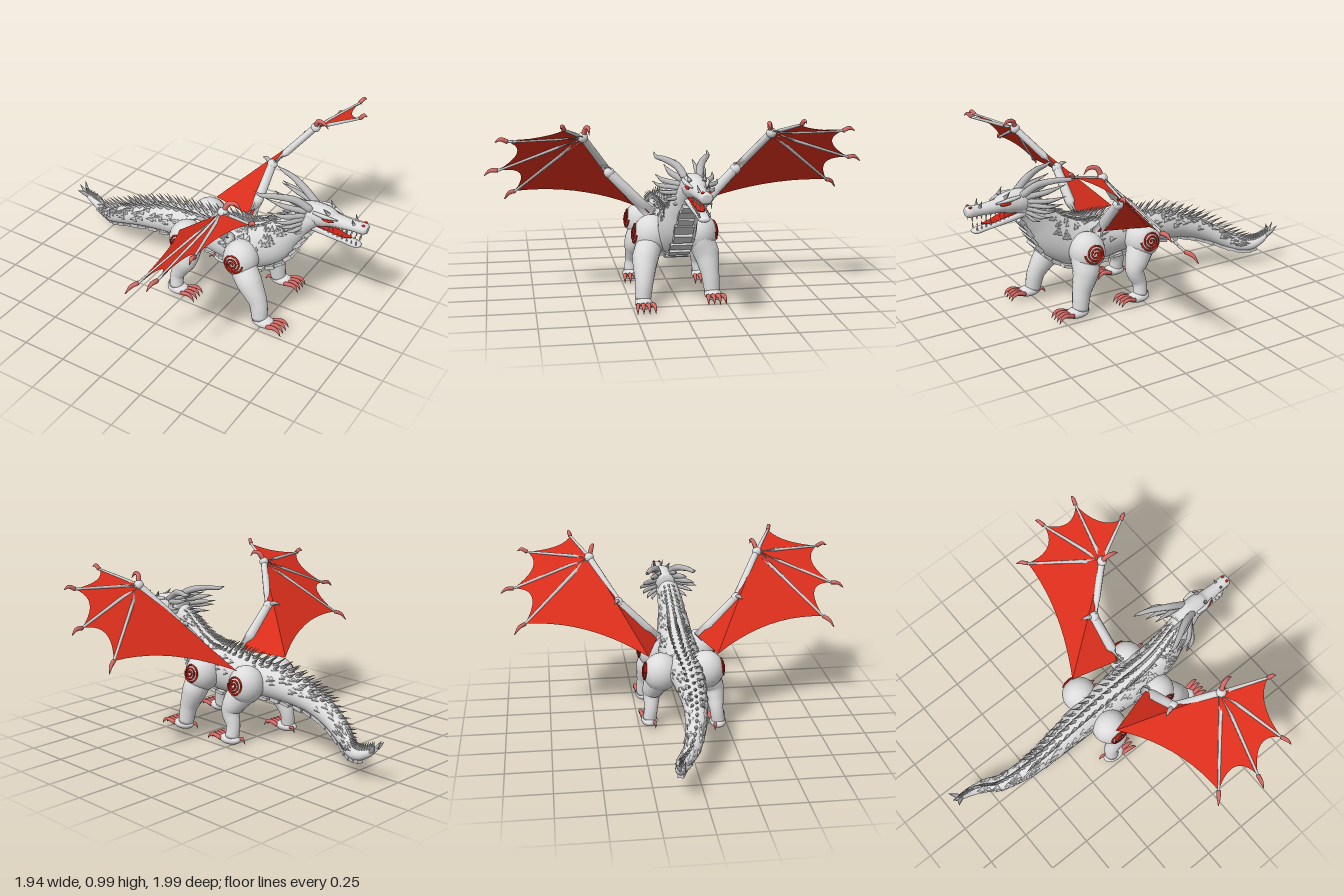
import * as THREE from 'three';
import { mergeGeometries } from 'three/addons/utils/BufferGeometryUtils.js';

const V = (x, y, z) => new THREE.Vector3(x, y, z);
const mat = (name, color, opts = {}) => Object.assign(new THREE.MeshStandardMaterial({ color, ...opts }), { name });
const hide = mat('pale hide', 0xdcdcdc);
const horn = mat('grey horn', 0xb8b8b8);
const plate = mat('plate grey', 0xcecece);
const skin = mat('wing red', 0xda2e1c, { side: THREE.DoubleSide });
const mark = mat('marking red', 0xcc2416);
const claw = mat('claw pink', 0xd66a64);
const ivory = mat('tooth white', 0xe6e2dc);

// Samples rows of [x, y, z, ry, rz] along a smooth curve
function path(rows) {
  const curve = new THREE.CatmullRomCurve3(rows.map(r => V(r[0], r[1], r[2])), false, 'catmullrom', 0.5);
  const span = curve.points[rows.length - 1].clone().sub(curve.points[0]).normalize();
  const ref = Math.abs(span.z) < 0.8 ? V(0, 0, 1) : V(1, 0, 0);
  return u => {
    const f = Math.min(u, 0.99999) * (rows.length - 1), i = Math.floor(f), k = f - i;
    const ra = rows[i], rb = rows[i + 1];
    const t = curve.getTangent(u);
    const side = ref.clone().addScaledVector(t, -ref.dot(t)).normalize();
    return {
      c: curve.getPoint(u), t, side, up: side.clone().cross(t),
      ry: THREE.MathUtils.lerp(ra[3], rb[3], k),
      rz: THREE.MathUtils.lerp(ra[4] ?? ra[3], rb[4] ?? rb[3], k)
    };
  };
}
// Closed loft of elliptical rings along a path
function loft(rows, sides = 10, segs = 10) {
  const at = path(rows), pos = [], idx = [];
  for (let i = 0; i <= segs; i++) {
    const { c, side, up, ry, rz } = at(i / segs);
    for (let j = 0; j < sides; j++) {
      const a = j / sides * Math.PI * 2;
      const p = c.clone().addScaledVector(side, Math.cos(a) * rz).addScaledVector(up, -Math.sin(a) * ry);
      pos.push(p.x, p.y, p.z);
      if (i < segs) {
        const n = (j + 1) % sides, A = i * sides + j, B = i * sides + n;
        idx.push(A, B, A + sides, B, B + sides, A + sides);
      }
    }
  }
  const s = at(0).c, e = at(1).c, k = pos.length / 3;
  pos.push(s.x, s.y, s.z, e.x, e.y, e.z);
  for (let j = 0; j < sides; j++) {
    const n = (j + 1) % sides, o = segs * sides;
    idx.push(k, n, j, k + 1, o + j, o + n);
  }
  const g = new THREE.BufferGeometry();
  g.setAttribute('position', new THREE.Float32BufferAttribute(pos, 3));
  g.setIndex(idx);
  g.computeVertexNormals();
  return g;
}
const ball = (c, r) => new THREE.SphereGeometry(1, 20, 14).scale(...r).translate(...c);
// Flattened cone pointing along dir with its flat side facing normal
function thorn(p, dir, normal, r, h, flat = 1, sides = 5) {
  const y = dir.clone().normalize(), x = y.clone().cross(normal).normalize(), z = x.clone().cross(y);
  return new THREE.ConeGeometry(r, h, sides).deleteAttribute('uv').translate(0, h / 2, 0).scale(1, 1, flat)
    .applyMatrix4(new THREE.Matrix4().makeBasis(x, y, z).setPosition(p));
}
const arr = v => [v.x, v.y, v.z];

export function createModel() {
  const model = new THREE.Group();
  model.name = 'dragon';
  const add = (name, geo, m, parent = model) => {
    const mesh = new THREE.Mesh(Array.isArray(geo) ? mergeGeometries(geo) : geo, m);
    mesh.name = name;
    parent.add(mesh);
  };
  let seed = 7;
  const rnd = () => (seed = (seed * 16807) % 2147483647) / 2147483647;

  // Tail, trunk and neck
  const rows = [
    [-.95, .2, -.115, .008], [-.9, .165, -.12, .02], [-.83, .137, -.115, .03], [-.76, .137, -.09, .035],
    [-.68, .17, -.04, .045], [-.55, .24, 0, .056], [-.4, .3, .015, .067], [-.2, .345, .01, .09, .085],
    [0, .355, 0, .1, .1], [.2, .355, 0, .13, .115], [.34, .375, 0, .14, .11], [.45, .44, 0, .125, .095],
    [.53, .53, -.005, .095, .078], [.6, .61, -.015, .075, .066], [.68, .67, -.03, .055, .058]];
  add('body', loft(rows, 24, 90), hide);
  const at = path(rows);
  const surf = (u, a) => {
    const s = at(u), ca = Math.cos(a), sa = Math.sin(a);
    s.p = s.c.clone().addScaledVector(s.up, ca * s.ry).addScaledVector(s.side, sa * s.rz);
    s.n = s.up.clone().multiplyScalar(ca / s.ry).addScaledVector(s.side, sa / s.rz).normalize();
    return s;
  };
  // Back spines in three rows
  const spines = [];
  for (const [a, count, from, size] of [[0, 52, .04, 1], [.4, 32, .4, .8], [-.4, 32, .4, .8]]) {
    for (let i = 0; i < count; i++) {
      const u = from + (.93 - from) * i / (count - 1), s = surf(u, a);
      const h = size * (.045 + .06 * Math.sin(Math.PI * Math.min(1, u * 1.05)));
      const dir = s.n.clone().multiplyScalar(.65).addScaledVector(s.t, -.75);
      spines.push(thorn(s.p.addScaledVector(s.n, -.008), dir, s.n, .011, h));
    }
  }
  add('backSpines', spines, horn);
  // Overlapping flank scales
  const scales = [];
  for (let i = 0; i < 240; i++) {
    const u = .2 + .72 * rnd(), s = surf(u, (rnd() < .5 ? -1 : 1) * (.4 + 1.15 * rnd()));
    scales.push(thorn(s.p.addScaledVector(s.n, -.001), s.t.clone().multiplyScalar(-1).addScaledVector(s.n, .1), s.n,
      .013 + .006 * rnd(), .035 + .015 * rnd(), .3, 4));
  }
  add('flankScales', scales, hide);
  // Belly plates
  const belly = [];
  for (let i = 0; i < 27; i++) {
    const s = surf(.16 + .76 * i / 26, Math.PI), w = s.rz * (i % 2 ? 1.2 : 1.05);
    belly.push(new THREE.BoxGeometry(.06, i % 2 ? .016 : .022, w).applyMatrix4(
      new THREE.Matrix4().makeBasis(s.t, s.n, s.t.clone().cross(s.n)).setPosition(s.p)));
  }
  add('bellyPlates', belly, plate);
  // Forked tail tip
  add('tailFork', [[-.965, .24, -.16], [-.955, .225, -.07], [-.97, .245, -.11]].map(e =>
    loft([[-.91, .17, -.12, .014], [-.94, .2, (e[2] - .12) / 2, .011], [...e, .001]], 6, 6)), horn);

  // Head, built facing +x
  const head = new THREE.Group();
  head.name = 'head';
  head.position.set(.66, .66, -.032);
  head.rotation.y = .05;
  model.add(head);
  add('upperJaw', loft([[-.08, 0, 0, .055], [0, .012, 0, .068, .065], [.08, .016, 0, .056, .056], [.13, .01, 0, .037, .042],
    [.22, .008, 0, .029, .033], [.285, .01, 0, .032, .035], [.305, .008, 0, .022, .024]], 14, 28), hide, head);
  add('lowerJaw', loft([[-.03, -.045, 0, .03, .05], [.06, -.067, 0, .023, .042], [.18, -.089, 0, .016, .032],
    [.25, -.099, 0, .017, .03], [.275, -.099, 0, .007, .016]], 12, 20), hide, head);
  add('tongue', loft([[.0, -.03, 0, .022, .038], [.08, -.044, 0, .015, .034], [.17, -.068, 0, .008, .022],
    [.22, -.068, 0, .003, .008]], 10, 12), mark, head);
  const teeth = [], spikes = [], eyes = [], brows = [];
  for (const s of [-1, 1]) {
    for (let i = 0; i < 8; i++) {
      const x = .1 + .026 * i, h = i % 3 === 1 ? .032 : .02;
      teeth.push(thorn(V(x, -.014, s * .026), V(0, -1, 0), V(1, 0, 0), .005, h));
      teeth.push(thorn(V(x - .025, -.057 - .0045 * i, s * .026), V(0, 1, 0), V(1, 0, 0), .005, h));
    }
    // Crown horns, then cheek and jaw spikes
    spikes.push(loft([[.0, .05, s * .035, .02], [-.08, .1, s * .06, .02], [-.17, .12, s * .105, .016],
      [-.24, .122, s * .135, .011], [-.285, .14, s * .14, .001]], 8, 18));
    for (const [x, y, z, r] of [[-.23, .075, .1, .018], [-.2, .03, .15, .016], [-.17, .0, .17, .014], [-.15, -.04, .15, .013],
      [-.12, -.08, .12, .012], [-.08, -.105, .085, .01], [-.21, .1, .045, .015]])
      spikes.push(loft([[-.02, y * .5, s * .04, r], [x * .55, y * .8, s * (z * .75 + .01), r * .85], [x, y + .01, s * z, .001]], 7, 10));
    spikes.push(thorn(V(.235, .03, s * .02), V(-.3, 1, s * .3), V(1, 0, 0), .009, .04));
    spikes.push(thorn(V(.1, .055, s * .035), V(-.8, 1, s * .4), V(1, 0, 0), .012, .05));
    eyes.push(ball([.1, .028, s * .051], [.034, .009, .009]));
    eyes.push(ball([.285, .038, s * .017], [.009, .006, .008]));
    brows.push(loft([[.02, .055, s * .054, .008], [.08, .049, s * .056, .012], [.15, .034, s * .035, .004]], 7, 8));
  }
  add('teeth', teeth, ivory, head);
  add('hornsAndSpikes', spikes, horn, head);
  add('eyesAndNostrils', eyes, mark, head);
  add('brows', brows, hide, head);

  // Legs: name, side, haunch x, joints as [x, y, z, r], foot x
  const legs = [
    ['FrontLeg', 1, .32, [[.4, .24, .17, .074], [.465, .14, .185, .052], [.485, .04, .195, .044]], .51],
    ['FrontLeg', -1, .31, [[.34, .24, .165, .074], [.375, .14, .18, .052], [.39, .04, .19, .044]], .41],
    ['HindLeg', 1, -.03, [[-.01, .23, .17, .066], [-.035, .17, .18, .05], [-.06, .11, .185, .04], [-.06, .04, .195, .04]], -.045],
    ['HindLeg', -1, -.04, [[.02, .23, .165, .066], [.035, .18, .175, .052], [.01, .11, .18, .04], [.01, .04, .19, .04]], .025]];
  for (const [name, s, hx, joints, fx] of legs) {
    const leg = new THREE.Group();
    leg.name = (s > 0 ? 'near' : 'far') + name;
    model.add(leg);
    const c = [hx, .345, s * .128], r = [.1, .108, .1], fz = s * joints[joints.length - 1][2];
    add('haunch', ball(c, r), hide, leg);
    add('limb', loft([[hx, .36, s * .12, .07, .06], [hx + .015, .31, s * .135, .085, .07],
      ...joints.map(([x, y, z, q]) => [x, y, s * z, q, q * .95])], 18, 24), hide, leg);
    add('foot', ball([fx, .03, fz], [.07, .03, .046]), hide, leg);
    // Four curved front claws and a heel claw
    const claws = [-1.5, -.5, .5, 1.5].map(k => loft([[fx + .04, .03, fz + k * .022, .013],
      [fx + .085, .045, fz + k * .027, .012], [fx + .115, .036, fz + k * .03, .008],
      [fx + .132, .01, fz + k * .031, .001]], 7, 9));
    claws.push(loft([[fx - .04, .03, fz - s * .02, .01], [fx - .07, .038, fz - s * .026, .009],
      [fx - .09, .01, fz - s * .028, .001]], 7, 8));
    add('claws', claws, claw, leg);
    // Spiral marking that follows the haunch
    const pts = [];
    for (let i = 0; i <= 70; i++) {
      const a = i / 70 * Math.PI * 6, q = .006 + .051 * i / 70, x = q * Math.cos(a), y = q * Math.sin(a);
      const z = r[2] * Math.sqrt(1 - (x / r[0]) ** 2 - ((y + .015) / r[1]) ** 2);
      pts.push(V(c[0] + x, c[1] + y + .015, c[2] + s * (z + .002)));
    }
    add('spiral', new THREE.TubeGeometry(new THREE.CatmullRomCurve3(pts), 140, .0052, 6), mark, leg);
  }

  // Wings
  for (const s of [1, -1]) {
    const wing = new THREE.Group();
    wing.name = s > 0 ? 'nearWing' : 'farWing';
    model.add(wing);
    const R = V(.24, .44, s * .12), E = V(.24, .67, s * .34), W = V(.42, .89, s * .49), I = V(-.035, .435, s * .195);
    const tips = (s > 0 ? [[.1, .515, .89], [.305, .685, .99], [.51, .89, .93], [.67, .975, .615]]
      : [[.14, .535, .93], [.345, .715, 1], [.535, .91, .9], [.67, .975, .605]]).map(p => V(p[0], p[1], s * p[2]));
    const ends = tips.map(t => W.clone().lerp(t, .86));
    const bone = (a, b, ra, rb, n = 8) => loft([[...arr(a), ra], [...arr(b), rb]], n, 2);
    add('arm', [bone(R, E, .034, .026), bone(E, W, .022, .019)], hide, wing);
    add('joints', [ball(arr(E), [.029, .029, .029]), ball(arr(W), [.027, .027, .027])], hide, wing);
    add('elbowSpike', loft([[...arr(E), .014], [.2, .69, s * .35, .012], [.165, .68, s * .365, .001]], 7, 8), horn, wing);
    add('fingers', ends.map(e => bone(W, e, .013, .007, 7)), plate, wing);
    // Finger and thumb claws
    const claws = ends.map((e, i) => {
      const m = e.clone().lerp(tips[i], .55);
      return loft([[...arr(e), .012], [m.x, m.y + .014, m.z, .011], [...arr(tips[i]), .002]], 7, 9);
    });
    claws.push(loft([[...arr(W), .015], [.44, .94, s * .475, .013], [.48, .945, s * .465, .01], [.51, .915, s * .465, .001]], 7, 10));
    add('wingClaws', claws, claw, wing);
    // Membrane with scalloped rim
    const tri = [];
    const face = (...ps) => ps.forEach(p => tri.push(p.x, p.y, p.z));
    const rim = [I, ...ends];
    for (let i = 0; i < 4; i++) {
      const mid = rim[i].clone().lerp(rim[i + 1], .5).lerp(W, i ? .36 : .24);
      const p = new THREE.QuadraticBezierCurve3(rim[i], mid, rim[i + 1]).getPoints(10);
      for (let j = 0; j < 10; j++) face(W, p[j], p[j + 1]);
    }
    face(W, E, I);
    face(E, R, I);
    const g = new THREE.BufferGeometry();
    g.setAttribute('position', new THREE.Float32BufferAttribute(tri, 3));
    g.computeVertexNormals();
    add('membrane', g, skin, wing);
  }
  return model;
}
